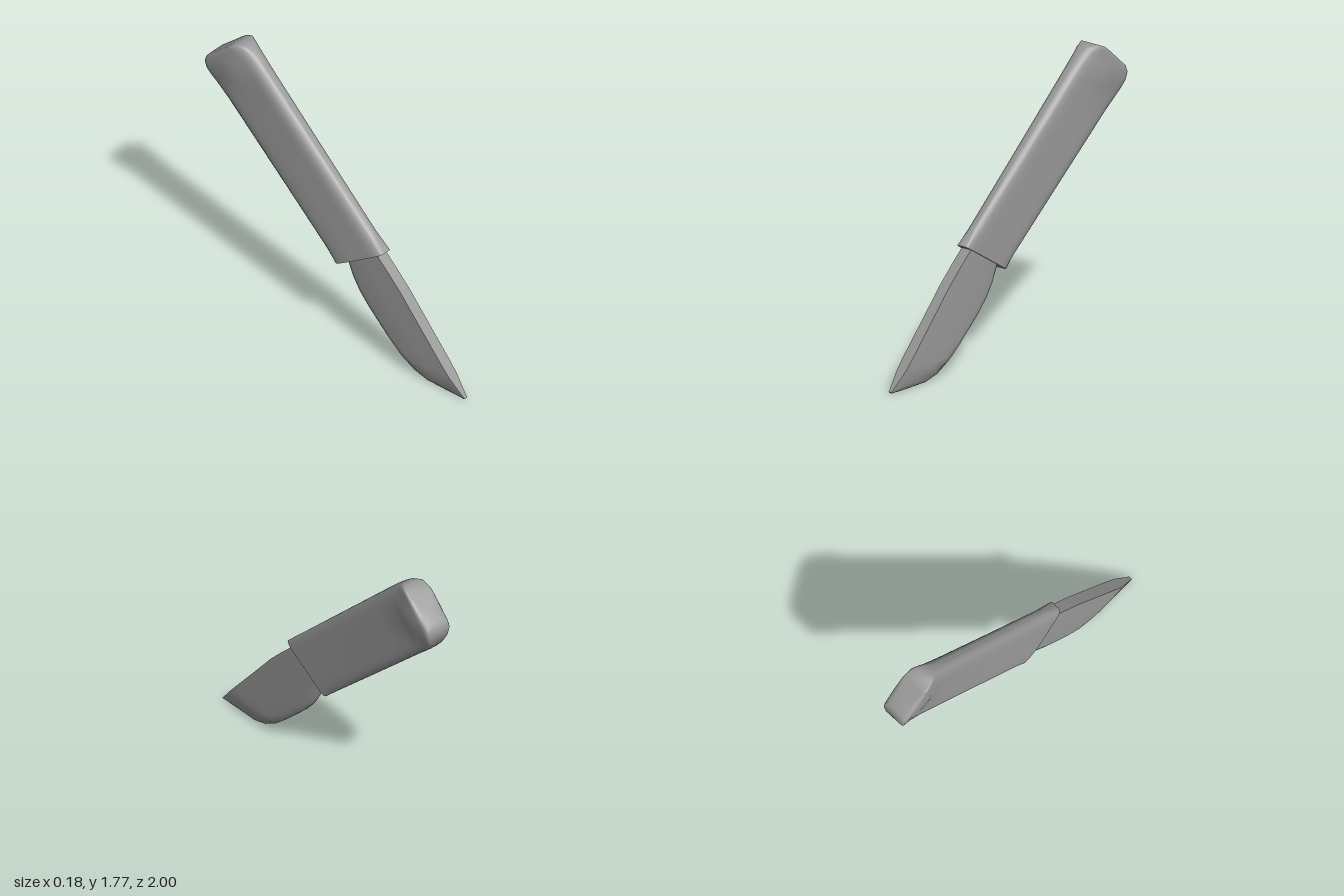
import * as THREE from 'three';
import { toCreasedNormals } from 'three/addons/utils/BufferGeometryUtils.js';

const lerp = THREE.MathUtils.lerp;

// Skins a closed surface over rings of points, with a fan at each end.
function loft(rings, crease) {
  const n = rings[0].length, pos = [], idx = [];
  rings.forEach(r => r.forEach(p => pos.push(...p)));
  for (let i = 0; i < rings.length - 1; i++) {
    for (let j = 0; j < n; j++) {
      const k = (j + 1) % n, a = i * n + j, b = i * n + k;
      idx.push(a, a + n, b, b, a + n, b + n);
    }
  }
  [0, rings.length - 1].forEach((i, end) => {
    const c = pos.length / 3;
    pos.push(...[0, 1, 2].map(q => rings[i].reduce((s, p) => s + p[q], 0) / n));
    for (let j = 0; j < n; j++) {
      const a = i * n + j, b = i * n + (j + 1) % n;
      end ? idx.push(c, b, a) : idx.push(c, a, b);
    }
  });
  const g = new THREE.BufferGeometry();
  g.setAttribute('position', new THREE.Float32BufferAttribute(pos, 3));
  g.setIndex(idx);
  return toCreasedNormals(g, crease);
}

// One ring: down the right side, then back up the left.
// top and bottom are [z, y]; profile holds [depth 0..1, share of half width].
function ring(top, bottom, profile, left, rightTop, rightBottom) {
  const point = ([v, f], w) => [w * f, lerp(top[1], bottom[1], v), lerp(top[0], bottom[0], v)];
  const right = profile.map(p => point(p, -lerp(rightTop, rightBottom, Math.min(1, p[0] * 1.5))));
  const leftSide = profile.map(p => point(p, left)).reverse();
  return [...right, ...leftSide];
}

// Handle profile: rounded spine and belly, squarer as box goes to 1,
// swelling at mid depth by the share bulge.
const handleProfile = (box, bulge) => [
  [0, 0.15], [0.01, 0.42], [0.035, 0.7], [0.08, 0.9], [0.15, 1], [0.25, 1], [0.37, 1], [0.5, 1],
  [0.63, 1], [0.75, 1], [0.85, 1], [0.92, 0.92], [0.965, 0.75], [0.99, 0.5], [1, 0.25],
].map(([v, f]) => [v, lerp(f, 1, box) * (1 + bulge * Math.sin(Math.PI * v) ** 2)]);

// Handle stations: spine, belly, left, right at spine, right at belly, boxiness, bulge
const handleStations = [
  [[0.37, 0.77], [0.02, 0.555], 0.046, 0.05, 0.075, 0.6, 0],
  [[0.27, 0.864], [-0.055, 0.622], 0.047, 0.052, 0.075, 0.1, 0],
  [[-0.1, 1.213], [-0.38, 0.911], 0.052, 0.056, 0.07, 0, 0],
  [[-0.45, 1.542], [-0.7, 1.196], 0.058, 0.06, 0.064, 0, 0],
  [[-0.56, 1.646], [-0.85, 1.33], 0.06, 0.061, 0.062, 0, 0.03],
  [[-0.61, 1.692], [-0.9, 1.372], 0.062, 0.062, 0.062, 0.05, 0.22],
  [[-0.66, 1.735], [-0.94, 1.41], 0.065, 0.065, 0.065, 0.15, 0.35],
  [[-0.7, 1.762], [-0.975, 1.45], 0.072, 0.072, 0.072, 0.35, 0.25],
  [[-0.75, 1.772], [-0.995, 1.5], 0.084, 0.084, 0.084, 0.65, 0.07],
  [[-0.8, 1.75], [-1, 1.55], 0.087, 0.087, 0.087, 0.8, 0.03],
  [[-0.825, 1.731], [-0.99, 1.586], 0.08, 0.08, 0.08, 0.85, 0],
  [[-0.845, 1.714], [-0.975, 1.606], 0.06, 0.06, 0.06, 0.85, 0],
];

// Blade profile: flat spine, and a rounded edge taking up the share bevel
const bladeProfile = bevel => [
  [0, 1], [(1 - bevel) / 2, 1], [1 - bevel, 1], [1 - 0.55 * bevel, 0.9], [1 - 0.2 * bevel, 0.65], [1, 0.3],
];

// Blade stations from tip to tang: spine, edge, half width, bevel
const bladeStations = [
  [[1, 0.012], [0.99, 0.003], 0.012, 0.9],
  [[0.96, 0.056], [0.85, 0.004], 0.02, 0.9],
  [[0.9, 0.125], [0.7, 0.009], 0.034, 0.85],
  [[0.84, 0.193], [0.6, 0.037], 0.037, 0.45],
  [[0.78, 0.262], [0.5, 0.095], 0.037, 0.2],
  [[0.7, 0.353], [0.4, 0.18], 0.037, 0.15],
  [[0.6, 0.468], [0.24, 0.33], 0.037, 0.15],
  [[0.52, 0.56], [0.17, 0.41], 0.037, 0.15],
  [[0.42, 0.66], [0.12, 0.49], 0.037, 0.15],
  [[0.33, 0.745], [0.08, 0.59], 0.037, 0.15],
  [[0.26, 0.82], [0.03, 0.68], 0.037, 0.15],
];

export function createModel() {
  const group = new THREE.Group();
  group.name = 'knife';
  const material = new THREE.MeshStandardMaterial({ color: 0x999999 });
  const add = (name, rings) => {
    const mesh = new THREE.Mesh(loft(rings, 1.1), material);
    mesh.name = name;
    group.add(mesh);
  };
  add('handle', handleStations.map(([t, b, l, rt, rb, box, bulge]) =>
    ring(t, b, handleProfile(box, bulge), l, rt, rb)));
  add('blade', bladeStations.map(([t, b, w, bevel]) =>
    ring(t, b, bladeProfile(bevel), w, w, w)));
  return group;
}
